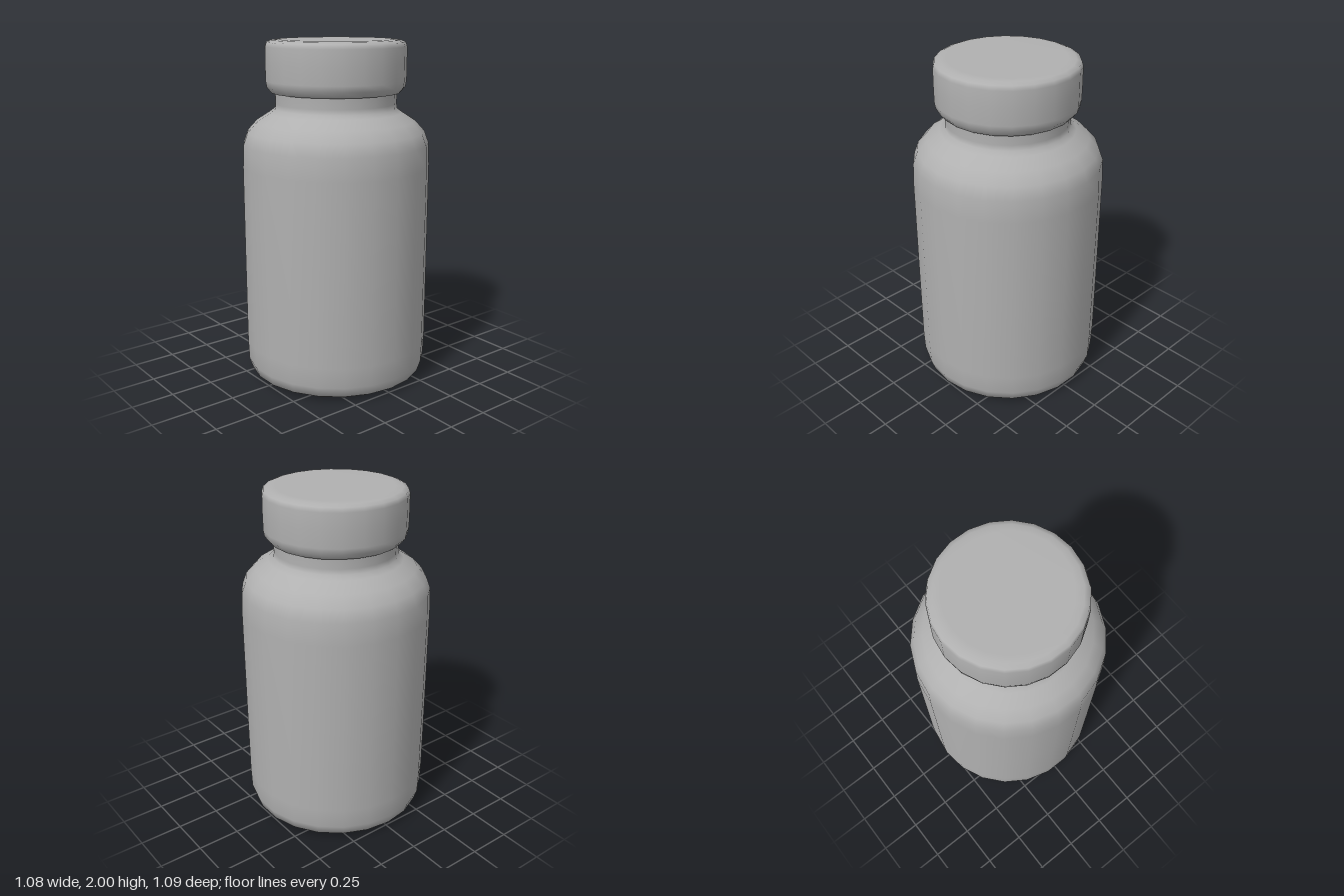
import * as THREE from 'three';

const SIDES = 22;

// Turn a list of [radius, height] pairs, bottom to top, into a smooth solid
function turned(name, profile, material) {
  const points = profile.map(([r, y]) => new THREE.Vector2(r, y));
  const mesh = new THREE.Mesh(new THREE.LatheGeometry(points, SIDES), material);
  mesh.name = name;
  return mesh;
}

export function createModel() {
  const grey = new THREE.MeshStandardMaterial({ color: 0xb0b0b0 });
  grey.name = 'plain grey';

  const bottle = new THREE.Group();
  bottle.name = 'bottle';

  // Flat base, rounded foot, straight wall, sloping shoulder and neck
  bottle.add(turned('body', [
    [0, 0.005], [0.42, 0.005], [0.47, 0.012], [0.52, 0.04], [0.54, 0.1],
    [0.545, 0.22], [0.546, 0.75], [0.546, 1.28], [0.541, 1.41],
    [0.515, 1.48], [0.46, 1.54], [0.385, 1.588], [0.355, 1.61],
    [0.351, 1.64], [0.353, 1.705],
  ], grey));

  // Cap with a tapered lower lip and a lightly bevelled top
  bottle.add(turned('cap', [
    [0.35, 1.7], [0.372, 1.702], [0.4, 1.735], [0.406, 1.77],
    [0.407, 1.87], [0.406, 1.96], [0.398, 1.985], [0.37, 1.996],
    [0.33, 2], [0, 2],
  ], grey));

  return bottle;
}
